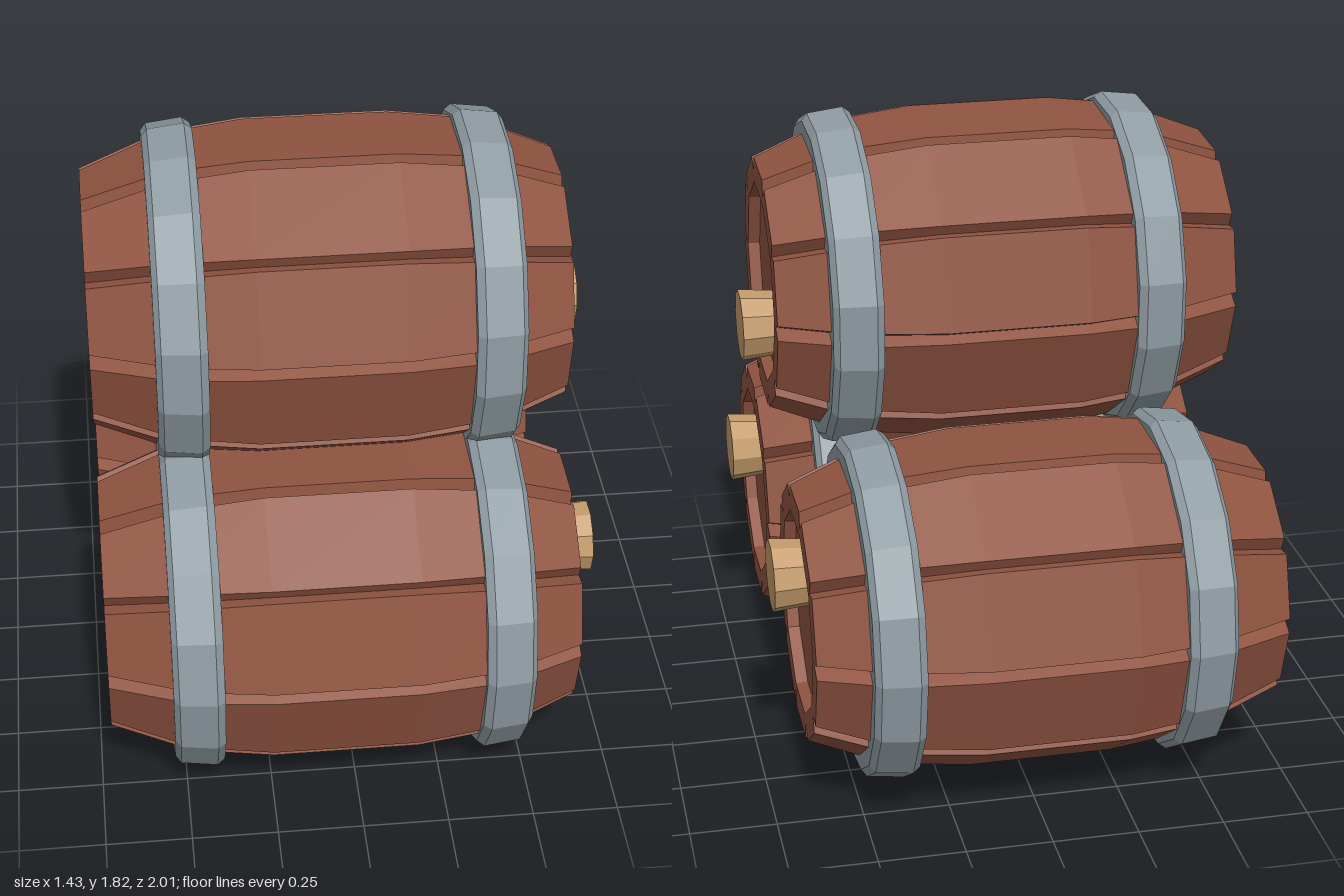
import * as THREE from 'three';

const mat = (color) => new THREE.MeshStandardMaterial({ color, flatShading: true });
const STAVES = 10;
const HALF = Math.PI / STAVES;
const LEFT = -0.715, RIGHT = 0.64, RECESS = 0.035;

// Cross-sections along x: [x, distance to stave face, groove half width, groove depth]
const sections = [
  [LEFT + RECESS + 0.01, 0.28, 0.008, 0],
  [LEFT, 0.283, 0.008, 0],
  [LEFT, 0.36, 0.024, 0.05],
  [-0.48, 0.448, 0.022, 0.045],
  [-0.25, 0.475, 0.018, 0.035],
  [0.17, 0.475, 0.018, 0.035],
  [0.41, 0.448, 0.022, 0.045],
  [RIGHT, 0.36, 0.024, 0.05],
  [RIGHT, 0.283, 0.008, 0],
  [RIGHT - RECESS - 0.01, 0.28, 0.008, 0],
];

// Ten flat staves separated by V grooves, lofted through the sections
function staveGeometry() {
  const pos = [], index = [], n = STAVES * 3;
  for (const [x, face, gap, depth] of sections) {
    const edge = face * Math.tan(HALF) - gap;
    const floor = face - depth;
    for (let s = 0; s < STAVES; s++) {
      const a = s * 2 * HALF, c = Math.cos(a), d = Math.sin(a);
      for (const [u, v] of [[floor, -floor * Math.tan(HALF)], [face, -edge], [face, edge]]) {
        pos.push(x, u * c - v * d, u * d + v * c);
      }
    }
  }
  for (let i = 0; i < sections.length - 1; i++) {
    for (let j = 0; j < n; j++) {
      const k = (j + 1) % n;
      const a = i * n + j, b = i * n + k, c = a + n, d = b + n;
      index.push(a, b, c, b, d, c);
    }
  }
  const g = new THREE.BufferGeometry();
  g.setAttribute('position', new THREE.Float32BufferAttribute(pos, 3));
  g.setIndex(index);
  g.computeVertexNormals();
  return g;
}

// Bevelled band, revolved around the barrel axis
function hoopGeometry() {
  const profile = [[0.39, -0.072], [0.47, -0.072], [0.492, -0.056], [0.505, 0.05], [0.488, 0.072], [0.39, 0.072]];
  const g = new THREE.LatheGeometry(profile.map(([r, y]) => new THREE.Vector2(r, y)), 16);
  return g.rotateZ(-Math.PI / 2);
}

export function createModel() {
  const wood = mat(0x8f5340), metal = mat(0x8f9ca3), cork = mat(0xc49c6c);
  const staves = staveGeometry();
  const hoop = hoopGeometry();
  const lids = new THREE.CylinderGeometry(0.3, 0.3, RIGHT - LEFT - 2 * RECESS, STAVES).rotateZ(-Math.PI / 2);
  const plug = new THREE.CylinderGeometry(0.106, 0.094, 0.125, 10).rotateZ(-Math.PI / 2);

  function barrel(name, y, z, roll) {
    const g = new THREE.Group();
    g.name = name;
    const add = (part, geo, material, px = 0, py = 0, mirror = 1) => {
      const m = new THREE.Mesh(geo, material);
      m.name = part;
      m.position.set(px, py, 0);
      if (mirror < 0) m.rotation.y = Math.PI;
      g.add(m);
    };
    add('staves', staves, wood);
    add('lids', lids, wood, (LEFT + RIGHT) / 2);
    add('leftHoop', hoop, metal, 0.422, 0, -1);
    add('rightHoop', hoop, metal, -0.463);
    add('plug', plug, cork, 0.6525, 0.125);
    g.position.set(0, y, z);
    g.rotation.x = roll;
    return g;
  }

  const model = new THREE.Group();
  model.name = 'barrelStack';
  model.add(
    barrel('frontBarrel', 0.512, 0.5, 0),
    barrel('backBarrel', 0.546, -0.495, 0),
    barrel('topBarrel', 1.328, 0.127, THREE.MathUtils.degToRad(212.5)),
  );
  return model;
}
